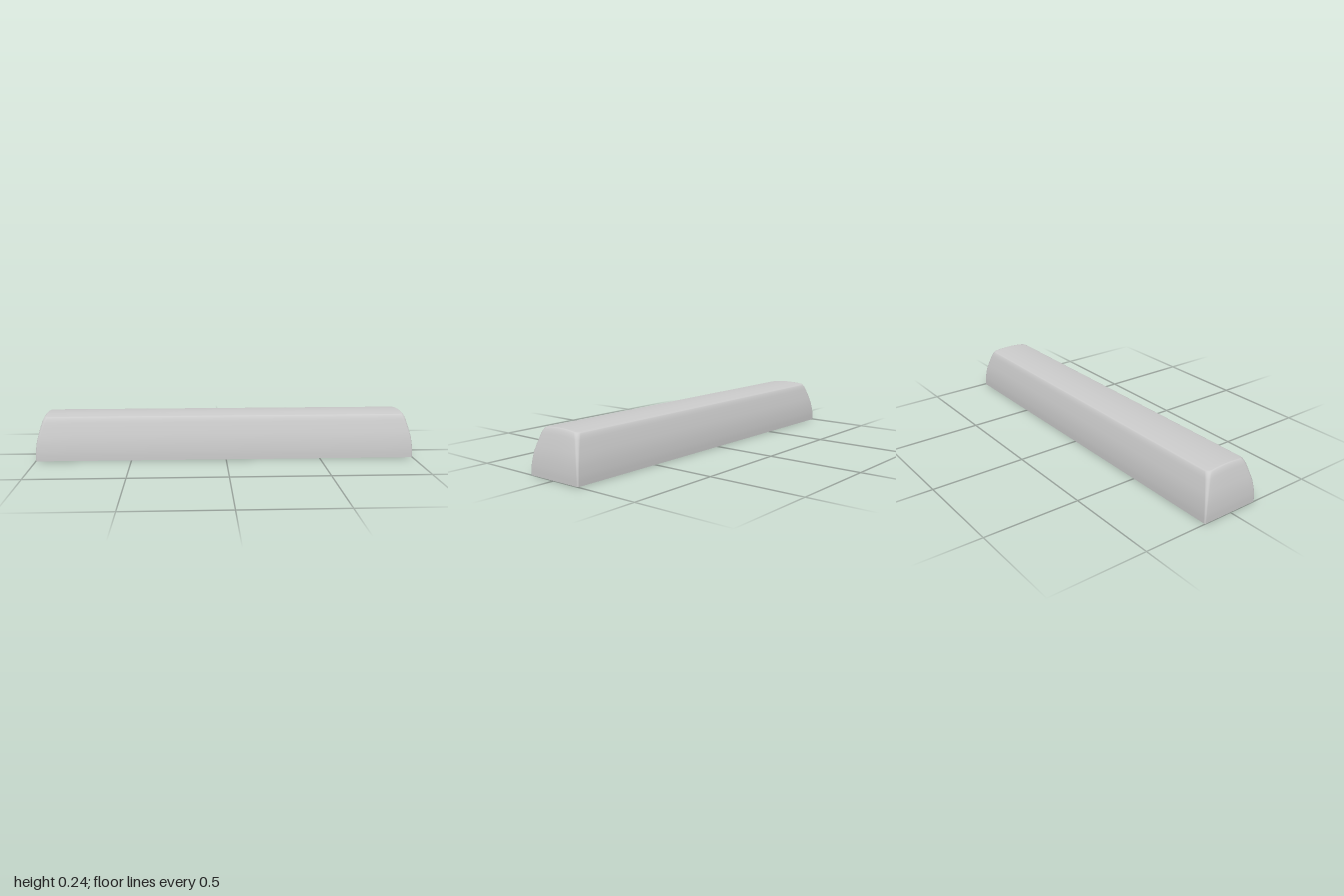
import * as THREE from 'three';

const HALF_X = 1, HALF_Z = 0.16;
// [height, inset from the base outline, corner radius]
const PROFILE = [
  [0, 0, 0.008], [0.025, 0, 0.008], [0.05, 0.001, 0.009], [0.08, 0.0045, 0.01], [0.11, 0.009, 0.012],
  [0.14, 0.0165, 0.014], [0.168, 0.0245, 0.016], [0.197, 0.033, 0.018], [0.212, 0.039, 0.02],
  [0.222, 0.0445, 0.022], [0.2255, 0.048, 0.022], [0.227, 0.053, 0.022],
];
const CORNER = 6, SIDE = 12;

// gently domed top, curved front to back
const crown = (z) => 0.235 - 0.72 * z * z;

// rounded rectangle outline with subdivided sides
function outline(hx, hz, r) {
  const pts = [];
  const corners = [[1, 1], [-1, 1], [-1, -1], [1, -1]];
  corners.forEach(([sx, sz], c) => {
    const cx = sx * (hx - r), cz = sz * (hz - r);
    for (let i = 0; i <= CORNER; i++) {
      const a = (c + i / CORNER) * Math.PI / 2;
      pts.push([cx + r * Math.cos(a), cz + r * Math.sin(a)]);
    }
    const [nx, nz] = corners[(c + 1) % 4];
    const a = (c + 1) * Math.PI / 2;
    const start = pts[pts.length - 1];
    const end = [nx * (hx - r) + r * Math.cos(a), nz * (hz - r) + r * Math.sin(a)];
    for (let i = 1; i < SIDE; i++) {
      const t = i / SIDE;
      pts.push([start[0] + (end[0] - start[0]) * t, start[1] + (end[1] - start[1]) * t]);
    }
  });
  return pts;
}

// joins rings of equal length, bottom to top, and closes the last with a centre point
function loft(rings, centre) {
  const n = rings[0].length, index = [];
  for (let j = 0; j < rings.length - 1; j++) {
    for (let i = 0; i < n; i++) {
      const k = (i + 1) % n;
      const a = j * n + i, b = j * n + k, c = a + n, d = b + n;
      index.push(a, c, b, b, c, d);
    }
  }
  const last = (rings.length - 1) * n, tip = rings.length * n;
  for (let i = 0; i < n; i++) index.push(last + i, tip, last + (i + 1) % n);
  const geo = new THREE.BufferGeometry();
  geo.setAttribute('position', new THREE.Float32BufferAttribute([...rings.flat(), centre].flat(), 3));
  geo.setIndex(index);
  geo.computeVertexNormals();
  return geo;
}

export function createModel() {
  const group = new THREE.Group();
  group.name = 'longKeycap';
  const material = new THREE.MeshStandardMaterial({ color: 0xcccccc });

  // curved side walls up to the softened rim
  const rings = PROFILE.map(([h, inset, r]) => {
    const hz = HALF_Z - inset;
    const bend = (h / 0.227) ** 2;
    return outline(HALF_X - inset, hz, r).map(([x, z]) => [x, h + (crown(z) - crown(hz)) * bend, z]);
  });

  // domed top, shrinking rings toward the centre
  const rim = rings[rings.length - 1];
  for (const s of [0.97, 0.85, 0.7, 0.55, 0.4, 0.25, 0.1]) {
    rings.push(rim.map(([x, , z]) => [x * s, crown(z * s), z * s]));
  }
  const body = new THREE.Mesh(loft(rings, [0, crown(0), 0]), material);
  body.name = 'keycapBody';
  group.add(body);

  // flat underside
  const shape = new THREE.Shape(outline(HALF_X, HALF_Z, PROFILE[0][2]).map(([x, z]) => new THREE.Vector2(x, z)));
  const base = new THREE.Mesh(new THREE.ShapeGeometry(shape).rotateX(Math.PI / 2), material);
  base.name = 'underside';
  group.add(base);

  return group;
}
